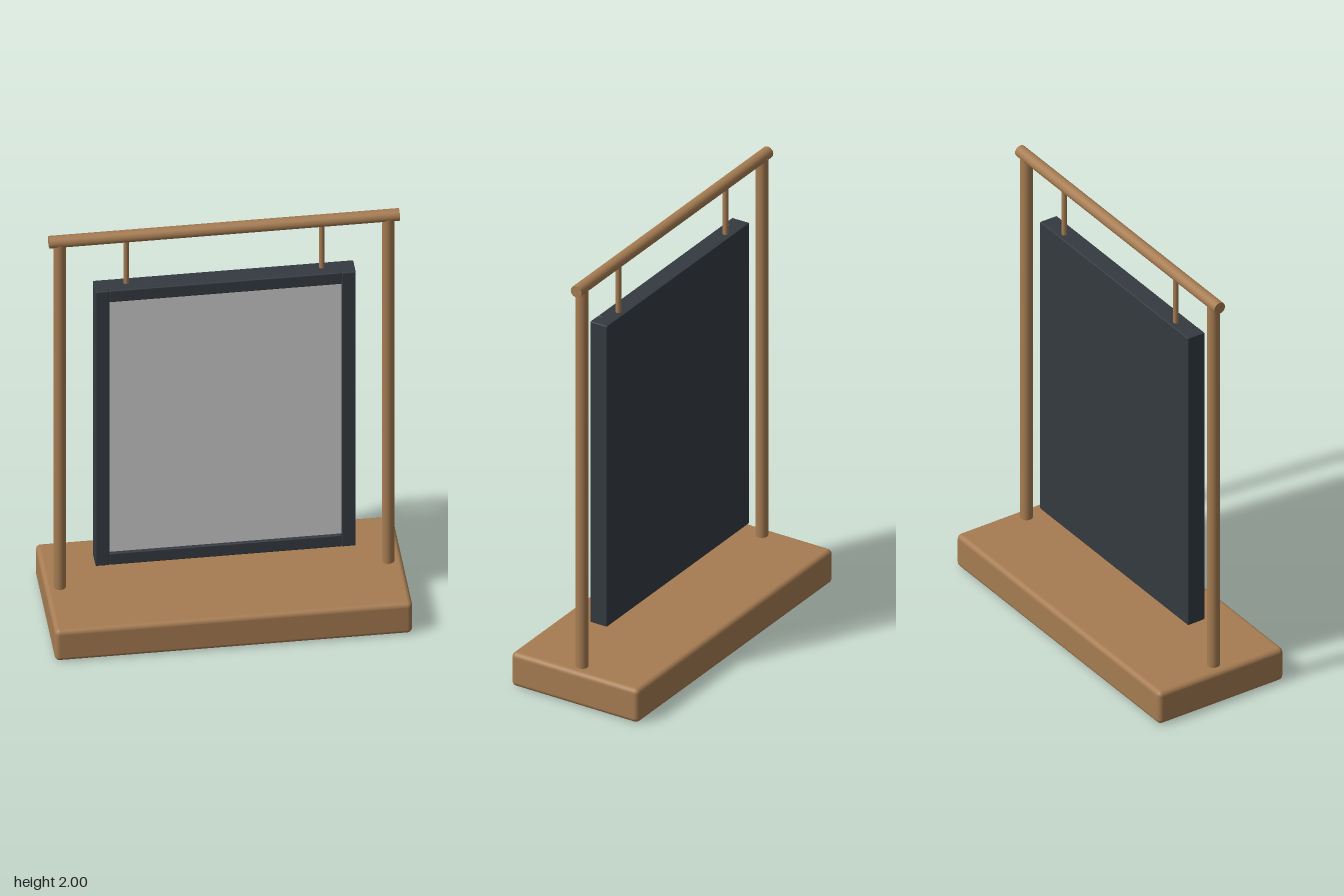
import * as THREE from 'three';
import { RoundedBoxGeometry } from 'three/addons/geometries/RoundedBoxGeometry.js';

export function createModel() {
  const model = new THREE.Group();
  const material = (name, color) => {
    const m = new THREE.MeshStandardMaterial({ color });
    m.name = name;
    return m;
  };
  const wood = material('wood', 0xa67c52);
  const charcoal = material('charcoal', 0x343a40);
  const grey = material('paleGrey', 0xcacaca);

  const add = (name, geometry, mat, x, y, z) => {
    const mesh = new THREE.Mesh(geometry, mat);
    mesh.name = name;
    mesh.position.set(x, y, z);
    model.add(mesh);
    return mesh;
  };
  const block = (name, mat, w, h, d, r, x, y, z) =>
    add(name, new RoundedBoxGeometry(w, h, d, 3, r), mat, x, y, z);
  const rod = (name, r, x, y0, y1) =>
    add(name, new THREE.CylinderGeometry(r, r, y1 - y0, 32), wood, x, (y0 + y1) / 2, 0);

  // Wooden stand
  block('base', wood, 1.525, 0.16, 0.64, 0.022, 0, 0.08, 0);
  const bar = rod('crossbar', 0.027, 0, -0.747, 0.747);
  bar.rotation.z = Math.PI / 2;
  bar.position.y = 1.973;

  // Hanging panel with its display surface
  block('backPanel', charcoal, 1.11, 1.44, 0.065, 0.004, 0, 1.01, 0.0015);
  add('displaySurface', new THREE.BoxGeometry(0.99, 1.32, 0.006), grey, 0, 1.01, 0.037);

  // Frame rails across the top and bottom
  for (const y of [0.32, 1.7]) {
    block('frameRail', charcoal, 0.99, 0.06, 0.045, 0.005, 0, y, 0.0315);
  }

  // Mirrored posts, hangers and frame sides
  for (const [side, s] of [['left', 1], ['right', -1]]) {
    rod(side + 'Post', 0.027, s * 0.7, 0.15, 1.965);
    rod(side + 'Hanger', 0.012, s * 0.417, 1.7, 1.973);
    block(side + 'FrameSide', charcoal, 0.06, 1.44, 0.045, 0.005, s * 0.525, 1.01, 0.0325);
  }
  return model;
}
